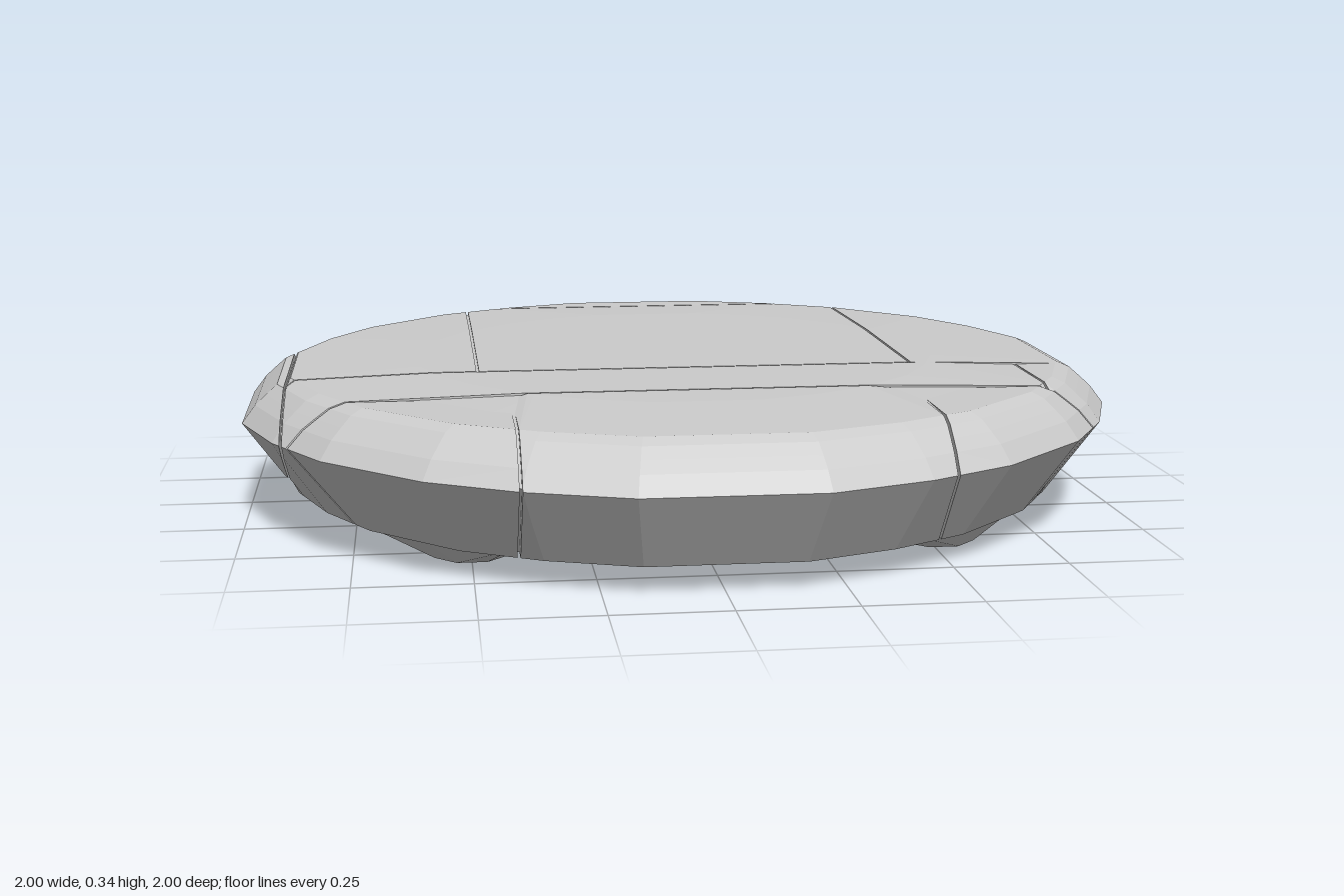
import * as THREE from 'three';
import { ConvexGeometry } from 'three/addons/geometries/ConvexGeometry.js';

const material = new THREE.MeshStandardMaterial({ color: 0xcccccc, flatShading: true });

// One quadrant of the rim, repeated four times
const QUADRANT = [[1, 0.19], [0.92, 0.41], [0.81, 0.6], [0.6, 0.81], [0.41, 0.92], [0.19, 1]];
const RIM = [];
for (let q = 0; q < 4; q++) {
  const c = [1, 0, -1, 0][q], s = [0, 1, 0, -1][q];
  for (const [x, z] of QUADRANT) RIM.push([x * c - z * s, x * s + z * c]);
}

// Height and scale of each horizontal section, from underside to top
const LAYERS = [[0.06, 0.88], [0.103, 0.91], [0.145, 0.94], [0.188, 0.97], [0.23, 1],
  [0.25, 0.985], [0.27, 0.97], [0.293, 0.945], [0.315, 0.92], [0.328, 0.89], [0.338, 0.6]];

// Keeps the part of a convex outline where sign * p[axis] <= limit
function clip(outline, axis, sign, limit) {
  const result = [];
  outline.forEach((a, i) => {
    const b = outline[(i + 1) % outline.length];
    const da = sign * a[axis] - limit, db = sign * b[axis] - limit;
    if (da <= 0) result.push(a);
    if (da * db < 0) {
      const t = da / (da - db);
      result.push([a[0] + (b[0] - a[0]) * t, a[1] + (b[1] - a[1]) * t]);
    }
  });
  return result;
}

// The part of the disc inside a rectangle, as one solid slab
function slab(x0, x1, z0, z1, inset = 1) {
  const points = [];
  for (const [y, s] of LAYERS) {
    let outline = RIM.map(([x, z]) => [x * s * inset, z * s * inset]);
    outline = clip(outline, 0, 1, x1);
    outline = clip(outline, 0, -1, -x0);
    outline = clip(outline, 1, 1, z1);
    outline = clip(outline, 1, -1, -z0);
    const h = 0.2 + (y - 0.2) * inset;
    for (const [x, z] of outline) points.push(new THREE.Vector3(x, h, z));
  }
  return new ConvexGeometry(points);
}

// Foot with steep inner sides and a long outward slope
function foot(sx, sz, innerX, innerZ) {
  const points = [];
  const base = [[innerX + 0.04, innerZ], [innerX, innerZ + 0.04], [innerX, 0.62], [0.43, 0.74],
    [0.61, 0.61], [0.76, 0.42], [0.62, innerZ]];
  for (const [x, z] of base) for (const y of [0.063, 0.1]) {
    points.push(new THREE.Vector3(sx * x, y, sz * z));
  }
  const cx = innerX > 0.35 ? 0.5 : 0.52, cz = innerZ > 0.35 ? 0.51 : 0.52;
  for (let i = 0; i < 8; i++) {
    const a = (i + 0.5) * Math.PI / 4;
    points.push(new THREE.Vector3(sx * (cx + 0.085 * Math.cos(a)), 0, sz * (cz + 0.085 * Math.sin(a))));
  }
  return new ConvexGeometry(points);
}

export function createModel() {
  const group = new THREE.Group();
  const add = (name, geometry) => {
    const mesh = new THREE.Mesh(geometry, material);
    mesh.name = name;
    group.add(mesh);
  };

  // Slabs separated by hairline cracks
  const g = 0.003;
  const slabs = [
    ['frontRightSlab', -2, -0.41 - g, 0.47 + g, 2],
    ['frontMiddleSlab', -0.41 + g, 0.47 - g, 0.47 + g, 2],
    ['frontLeftSlab', 0.47 + g, 2, 0.47 + g, 2],
    ['crossSlab', -0.9 + g, 0.78 - g, 0.2 + g, 0.47 - g],
    ['rightRimSlab', -2, -0.9 - g, -2, 0.47 - g],
    ['rightSlab', -0.9 + g, -0.47 - g, -2, 0.2 - g],
    ['centreSlab', -0.47 + g, 0.53 - g, -0.81 + g, 0.2 - g],
    ['backRimSlab', -0.47 + g, 0.53 - g, -2, -0.81 - g],
    ['leftSlab', 0.53 + g, 2, -2, 0.2],
    ['leftCornerSlab', 0.78 + g, 2, 0.2, 0.47 - g],
  ];
  for (const [name, ...rect] of slabs) add(name, slab(...rect));

  // Solid core behind the cracks
  add('core', slab(-2, 2, -2, 2, 0.97));

  // Four feet
  add('frontLeftFoot', foot(1, 1, 0.3, 0.42));
  add('frontRightFoot', foot(-1, 1, 0.4, 0.42));
  add('backLeftFoot', foot(1, -1, 0.3, 0.32));
  add('backRightFoot', foot(-1, -1, 0.4, 0.32));

  return group;
}
